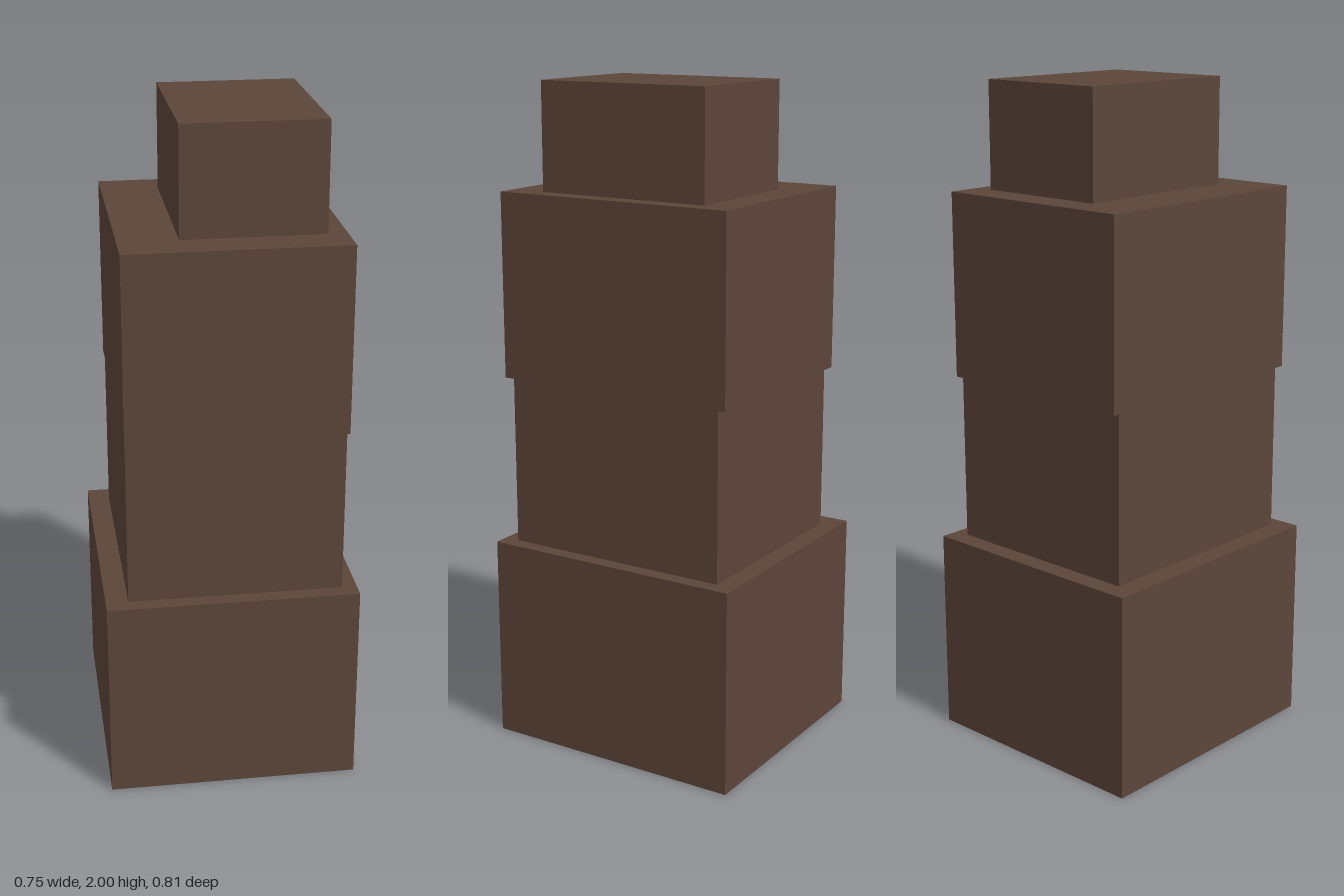
import * as THREE from 'three';

export function createModel() {
  const group = new THREE.Group();
  group.name = 'steppedTower';
  const brown = new THREE.MeshStandardMaterial({ color: 0x5c4539 });
  brown.name = 'dark brown';

  // Each block is given by its extents along x, y and z
  const block = (name, [x0, x1], [y0, y1], [z0, z1]) => {
    const mesh = new THREE.Mesh(new THREE.BoxGeometry(x1 - x0, y1 - y0, z1 - z0), brown);
    mesh.position.set((x0 + x1) / 2, (y0 + y1) / 2, (z0 + z1) / 2);
    mesh.name = name;
    group.add(mesh);
  };

  block('baseBlock', [-0.373, 0.373], [0, 0.62], [-0.406, 0.406]);
  block('lowerBlock', [-0.307, 0.328], [0.62, 1.128], [-0.347, 0.36]);
  block('upperBlock', [-0.31, 0.33], [1.128, 1.682], [-0.37, 0.39]);
  block('topBlock', [-0.138, 0.274], [1.682, 2], [-0.267, 0.278]); // set off-centre

  return group;
}
